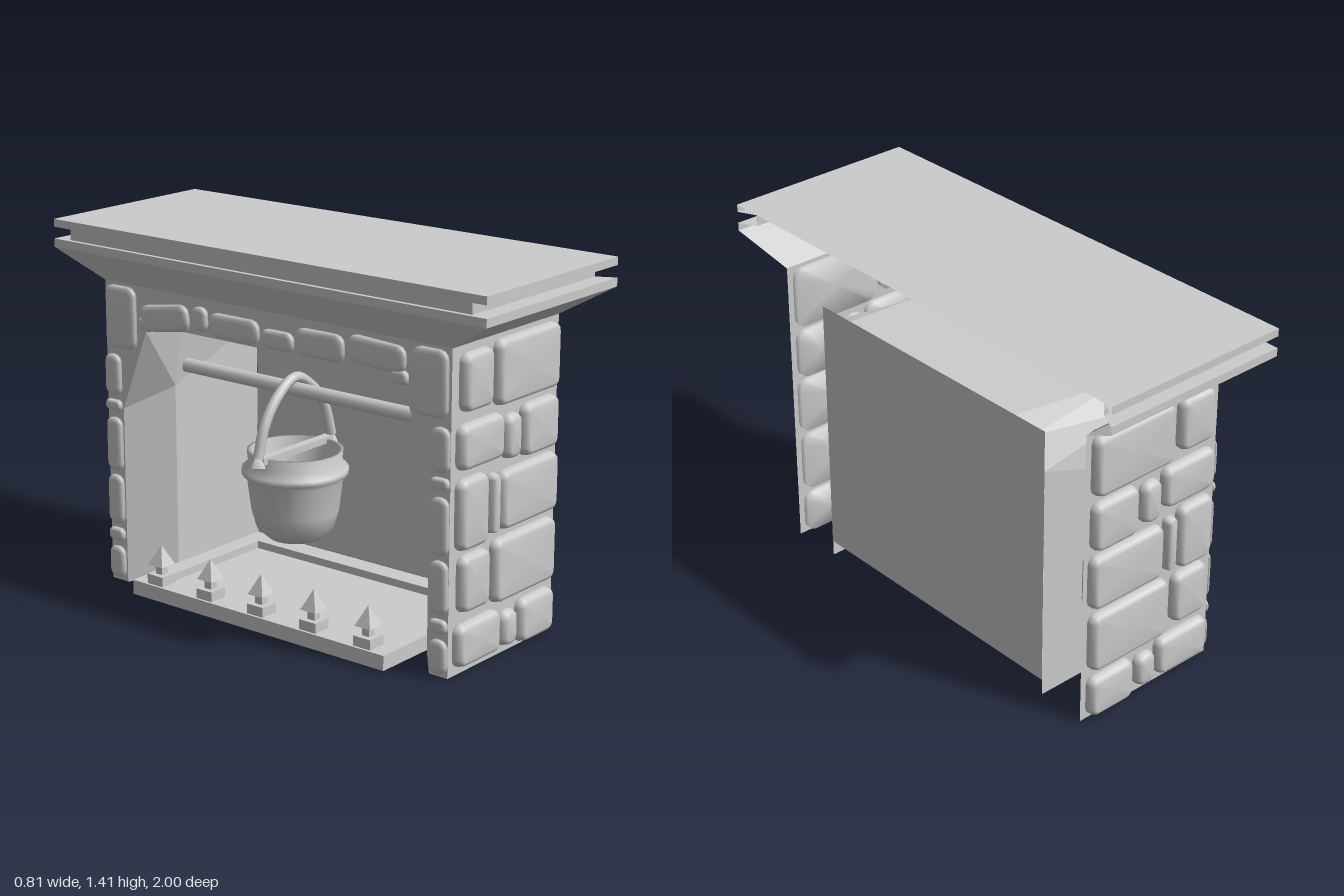
import * as THREE from 'three';

const mat = new THREE.MeshStandardMaterial({ color: 0xcccccc });
const sheet = new THREE.MeshStandardMaterial({ color: 0xcccccc, side: THREE.DoubleSide });

function add(parent, name, geometry, material = mat) {
  const mesh = new THREE.Mesh(geometry, material);
  mesh.name = name;
  parent.add(mesh);
  return mesh;
}

// Box given by its limits on each axis
function block(parent, name, x0, x1, y0, y1, z0, z1) {
  const m = add(parent, name, new THREE.BoxGeometry(x1 - x0, y1 - y0, z1 - z0));
  m.position.set((x0 + x1) / 2, (y0 + y1) / 2, (z0 + z1) / 2);
}

// Rounded rectangle outline, counter-clockwise, four points per corner
function roundedRing(w, h, r) {
  const points = [];
  const corners = [[1, 1], [-1, 1], [-1, -1], [1, -1]];
  corners.forEach(([sx, sy], c) => {
    for (let i = 0; i < 4; i++) {
      const a = (c + i / 3) * Math.PI / 2;
      points.push([sx * (w / 2 - r) + r * Math.cos(a), sy * (h / 2 - r) + r * Math.sin(a)]);
    }
  });
  return points;
}

// Pillow shaped stone rising from z = 0 to z = d
function stoneGeometry(w, h, d) {
  const pos = [], index = [];
  const r = Math.min(0.035, w * 0.4, h * 0.4);
  const bevel = Math.min(0.022, w * 0.25, h * 0.25);
  const levels = [[null, 0], [0, 0], [0, 0.55], [bevel * 0.35, 0.87], [bevel, 1], [null, 1]];
  levels.forEach(([inset, t], k) => {
    const ring = roundedRing(w - 2 * inset, h - 2 * inset, Math.max(r - inset, 0.003));
    ring.forEach(([x, y], i) => {
      pos.push(inset === null ? 0 : x, inset === null ? 0 : y, t * d);
      if (k === 0) return;
      const j = (i + 1) % 16, a = (k - 1) * 16, b = k * 16;
      index.push(a + i, a + j, b + j, a + i, b + j, b + i);
    });
  });
  const g = new THREE.BufferGeometry();
  g.setAttribute('position', new THREE.Float32BufferAttribute(pos, 3));
  g.setIndex(index);
  g.computeVertexNormals();
  return g;
}

// Flat faceted strips joining a series of polylines with equal point counts
function strips(...lines) {
  const pos = [];
  for (let k = 0; k < lines.length - 1; k++) {
    const a = lines[k], b = lines[k + 1];
    for (let i = 0; i < a.length - 1; i++) {
      pos.push(...a[i], ...b[i], ...b[i + 1], ...a[i], ...b[i + 1], ...a[i + 1]);
    }
  }
  const g = new THREE.BufferGeometry();
  g.setAttribute('position', new THREE.Float32BufferAttribute(pos, 3));
  g.computeVertexNormals();
  return g;
}

// Three sided outline at height y, open towards the rear
const openRing = (x0, x1, y, z) => [[x1, y, z], [x0, y, z], [x0, y, -z], [x1, y, -z]];
const closedRing = (x0, x1, y, z) => [...openRing(x0, x1, y, z), [x1, y, z]];

// Half profile of [z, y] points, mirrored across z = 0 and placed at depth x
const arch = (x, half) => [
  ...half.map(([z, y]) => [x, y, z]),
  ...half.slice().reverse().map(([z, y]) => [x, y, -z]),
];

export function createModel() {
  const model = new THREE.Group();
  model.name = 'fireplace';

  // Mantel: a stepped shell with a flared collar, open at the rear
  add(model, 'mantelMoulding', strips(
    openRing(-0.38, 0.405, 1.41, 1), openRing(-0.38, 0.405, 1.38, 1),
    openRing(-0.363, 0.37, 1.38, 0.93), openRing(-0.363, 0.37, 1.335, 0.93),
    openRing(-0.38, 0.405, 1.335, 1), openRing(-0.38, 0.405, 1.303, 1),
    openRing(-0.305, 0.33, 1.19, 0.81),
  ), sheet);
  const top = add(model, 'mantelTop', new THREE.PlaneGeometry(0.785, 2), sheet);
  top.rotation.x = -Math.PI / 2;
  top.position.set(0.0125, 1.41, 0);

  // Side walls
  for (const s of [-1, 1]) {
    const wall = add(model, 'sideWall', new THREE.PlaneGeometry(0.635, 1.19), sheet);
    wall.position.set(0.0125, 0.595, s * 0.81);
    if (s < 0) wall.rotation.y = Math.PI;
  }

  // Facade with the hearth opening cut out of it
  const opening = [[0.73, 0], [0.73, 0.7], [0.605, 1.02], [0.5, 1.05]];
  const outline = [
    [-0.81, 0], [-0.81, 1.19], [0.81, 1.19], [0.81, 0],
    ...opening, ...opening.slice().reverse().map(([z, y]) => [-z, y]),
  ].map(([z, y]) => new THREE.Vector2(z, y));
  const facade = add(model, 'facade', new THREE.ShapeGeometry(new THREE.Shape(outline)), sheet);
  facade.rotation.y = -Math.PI / 2;
  facade.position.x = -0.305;

  // Lining: a short splay behind the opening, then straight sides to the back panel
  const throat = [[0.605, 0], [0.605, 0.78], [0.575, 1.0], [0.48, 1.07]];
  const rear = [[0.605, 0], [0.605, 0.95], [0.55, 1.07], [0.45, 1.105]];
  add(model, 'lining', strips(arch(-0.305, opening), arch(-0.15, throat), arch(0.324, rear)), sheet);
  const back = add(model, 'backPanel', new THREE.PlaneGeometry(1.21, 1.045), sheet);
  back.rotation.y = Math.PI / 2;
  back.position.set(0.325, 0.5875, 0);

  // Hearth: a hollow plinth with a shallow sunken floor
  add(model, 'hearth', strips(
    closedRing(-0.405, 0.323, 0.065, 0.605), closedRing(-0.3, 0.235, 0.065, 0.53),
    closedRing(-0.3, 0.235, 0.035, 0.53),
  ), sheet);
  add(model, 'hearthEdge', strips(
    openRing(-0.405, 0.323, 0.065, 0.605), openRing(-0.405, 0.323, 0.008, 0.605)), sheet);
  const floor = add(model, 'hearthFloor', new THREE.PlaneGeometry(0.535, 1.06), sheet);
  floor.rotation.x = -Math.PI / 2;
  floor.position.set(-0.0325, 0.035, 0);

  // Side stones: x0, x1, y0, y1
  const sideStones = [
    [-0.28, -0.03, 0.03, 0.19], [-0.015, 0.075, 0.03, 0.165], [0.095, 0.305, 0.012, 0.18],
    [-0.265, -0.1, 0.23, 0.44], [-0.07, 0.305, 0.21, 0.45],
    [-0.28, -0.115, 0.46, 0.72], [-0.1, -0.05, 0.48, 0.7], [-0.035, 0.31, 0.475, 0.695],
    [-0.28, -0.03, 0.75, 0.915], [-0.015, 0.075, 0.73, 0.895], [0.095, 0.305, 0.715, 0.91],
    [-0.265, -0.1, 0.955, 1.165], [-0.07, 0.305, 0.935, 1.175],
  ];
  const stones = new THREE.Group();
  stones.name = 'stones';
  model.add(stones);
  for (const [x0, x1, y0, y1] of sideStones) {
    const g = stoneGeometry(x1 - x0, y1 - y0, 0.065);
    for (const s of [-1, 1]) {
      const m = add(stones, 'sideStone', g);
      m.position.set((x0 + x1) / 2, (y0 + y1) / 2, s * 0.785);
      if (s < 0) m.rotation.y = Math.PI;
    }
  }

  const frontStone = (z0, z1, y0, y1, tilt = 0) => {
    const g = stoneGeometry(z1 - z0, y1 - y0, 0.02).rotateZ(tilt);
    const m = add(stones, 'frontStone', g);
    m.rotation.y = -Math.PI / 2;
    m.position.set(-0.3055, (y0 + y1) / 2, (z0 + z1) / 2);
  };
  // Narrow stones up both jambs, with a wider one at each top corner
  const jamb = [[0.015, 0.14], [0.165, 0.215], [0.235, 0.43], [0.45, 0.66], [0.69, 0.73], [0.75, 0.91]];
  const leftJamb = [...jamb.map(([y0, y1]) => [0.735, 0.81, y0, y1]), [0.65, 0.8, 0.94, 1.18], [0.56, 0.63, 1.03, 1.08]];
  for (const [z0, z1, y0, y1] of leftJamb) {
    frontStone(z0, z1, y0, y1);
    frontStone(-z1, -z0, y0, y1);
  }
  // Lintel stones: z0, z1, y0, y1, tilt
  const lintel = [
    [-0.62, -0.38, 1.04, 1.14, 0.15], [-0.36, -0.29, 1.07, 1.16], [-0.275, -0.04, 1.06, 1.15],
    [-0.025, 0.12, 1.06, 1.13], [0.135, 0.35, 1.06, 1.16], [0.37, 0.62, 1.07, 1.17, -0.05],
  ];
  for (const s of lintel) frontStone(...s);

  // Row of pointed finials along the hearth edge
  for (let i = -2; i <= 2; i++) {
    const finial = new THREE.Group();
    finial.name = 'finial';
    finial.position.set(-0.357, 0.065, i * 0.25);
    model.add(finial);
    block(finial, 'finialBase', -0.038, 0.038, 0, 0.038, -0.038, 0.038);
    block(finial, 'finialNeck', -0.016, 0.016, 0.038, 0.075, -0.016, 0.016);
    const tip = add(finial, 'finialTip', new THREE.ConeGeometry(0.05, 0.077, 4, 1).toNonIndexed());
    tip.geometry.rotateY(Math.PI / 4);
    tip.geometry.computeVertexNormals();
    tip.position.y = 0.113;
  }

  // Bar carrying the pot, its ends passing through the lining
  const bar = add(model, 'hangingBar', new THREE.CylinderGeometry(0.028, 0.028, 1.265, 10));
  bar.rotation.x = Math.PI / 2;
  bar.position.set(-0.09, 0.85, 0);

  // Pot with flanged rim, cross bar, ears and bail handle
  const pot = new THREE.Group();
  pot.name = 'pot';
  pot.position.set(-0.09, 0, -0.06);
  model.add(pot);
  const profile = [
    [0, 0.27], [0.1, 0.28], [0.145, 0.32], [0.165, 0.39], [0.18, 0.51], [0.2, 0.53],
    [0.2, 0.55], [0.175, 0.575], [0.18, 0.62], [0.165, 0.62], [0.155, 0.5], [0.12, 0.34], [0, 0.31],
  ].map(([r, y]) => new THREE.Vector2(r, y));
  add(pot, 'potBody', new THREE.LatheGeometry(profile, 24), sheet);
  block(pot, 'crossBar', -0.2, 0.2, 0.605, 0.63, -0.018, 0.018);
  for (const s of [-1, 1]) {
    const ear = add(pot, 'ear', new THREE.ConeGeometry(0.035, 0.06, 4));
    ear.position.set(s * 0.21, 0.63, 0);
  }
  const path = new THREE.CatmullRomCurve3([
    [-0.21, 0.63], [-0.17, 0.75], [-0.1, 0.84], [0, 0.895], [0.1, 0.84], [0.17, 0.75], [0.21, 0.63],
  ].map(([x, y]) => new THREE.Vector3(x, y, 0)));
  add(pot, 'handle', new THREE.TubeGeometry(path, 28, 0.02, 8));

  return model;
}
